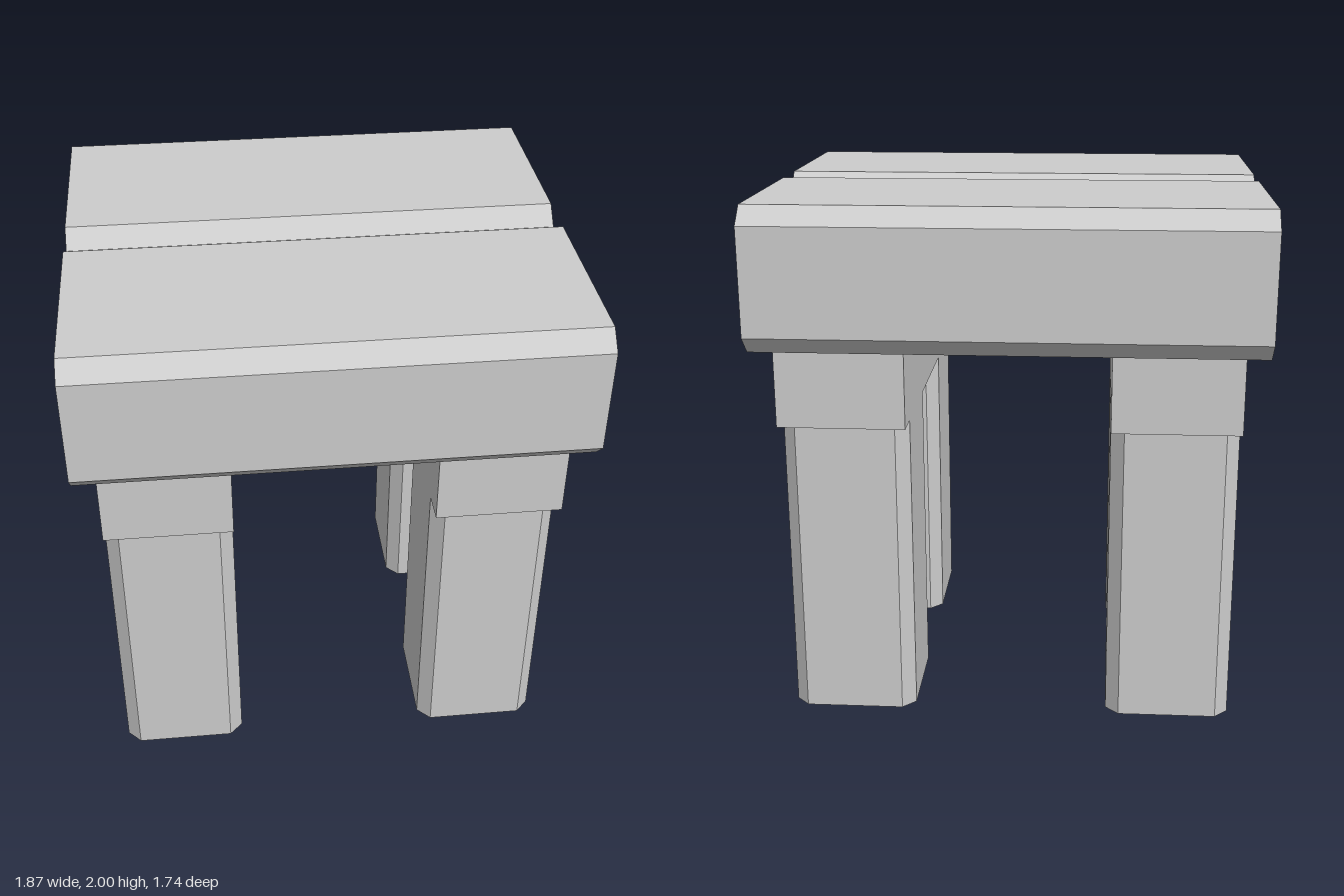
import * as THREE from 'three';

// Prism with a chamfered rectangular section, centred on the origin, running along z
function chamferedPrism(w, h, length, c) {
  const x = w / 2, y = h / 2;
  const s = new THREE.Shape([
    [-x + c, -y], [x - c, -y], [x, -y + c], [x, y - c],
    [x - c, y], [-x + c, y], [-x, y - c], [-x, -y + c],
  ].map(([a, b]) => new THREE.Vector2(a, b)));
  return new THREE.ExtrudeGeometry(s, { depth: length, bevelEnabled: false })
    .translate(0, 0, -length / 2);
}

export function createModel() {
  const group = new THREE.Group();
  const stone = new THREE.MeshStandardMaterial({ color: 0xcccccc });
  stone.name = 'paleGrey';

  const add = (name, geometry, x, y, z) => {
    const mesh = new THREE.Mesh(geometry, stone);
    mesh.name = name;
    mesh.position.set(x, y, z);
    group.add(mesh);
  };

  const plank = chamferedPrism(0.84, 0.53, 1.866, 0.066).rotateY(Math.PI / 2);
  const leg = chamferedPrism(0.476, 0.476, 1.175, 0.05).rotateX(-Math.PI / 2);
  const beam = new THREE.BoxGeometry(0.476, 0.3, 1.524);
  const stretcher = new THREE.BoxGeometry(0.24, 0.24, 0.44);

  // Two thick seat planks with a narrow gap between them
  add('frontSeatPlank', plank, 0, 1.735, 0.448);
  add('backSeatPlank', plank, 0, 1.735, -0.448);

  // A trestle on each side: two legs, a beam on top and a stretcher between
  for (const [side, x] of [['left', 0.613], ['right', -0.613]]) {
    add(side + 'Beam', beam, x, 1.325, 0);
    add(side + 'Stretcher', stretcher, x, 0.55, 0);
    add(side + 'FrontLeg', leg, x, 0.5875, 0.454);
    add(side + 'BackLeg', leg, x, 0.5875, -0.454);
  }
  return group;
}
